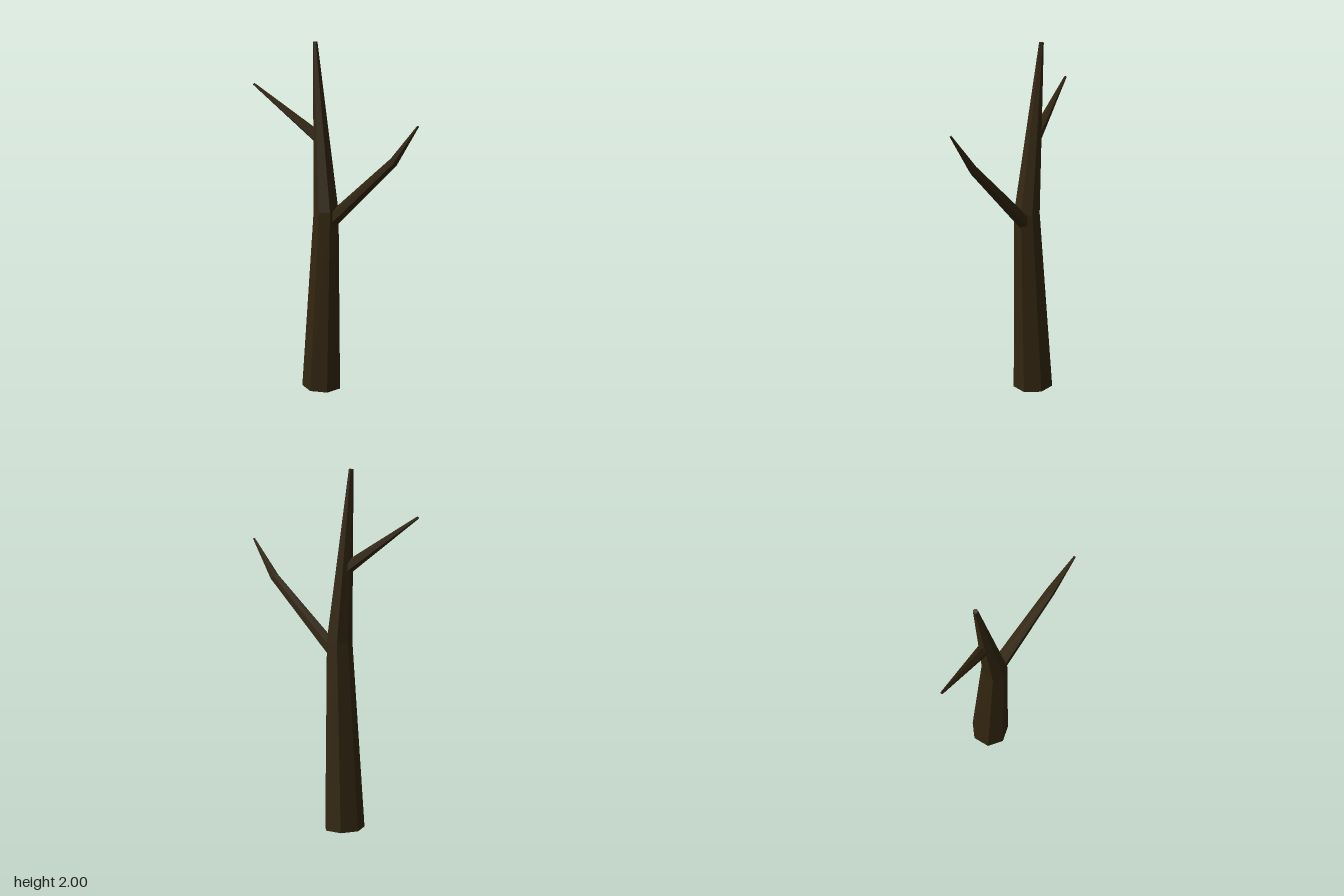
import * as THREE from 'three';

const bark = new THREE.MeshStandardMaterial({ color: 0x332610, flatShading: true });
bark.name = 'dark bark';

// Tapered, bent limb: one polygon ring per stop [x, y, z, radius], capped at both ends
function limb(name, stops, sides, reference) {
  const centres = stops.map(([x, y, z]) => new THREE.Vector3(x, y, z));
  const last = stops.length - 1;
  const positions = [];
  const index = [];

  stops.forEach((stop, i) => {
    // Each ring is square to the limb, halfway between neighbours at a bend
    const along = new THREE.Vector3();
    if (i > 0) along.add(centres[i].clone().sub(centres[i - 1]).normalize());
    if (i < last) along.add(centres[i + 1].clone().sub(centres[i]).normalize());
    along.normalize();
    const u = reference.clone().addScaledVector(along, -reference.dot(along)).normalize();
    const v = along.clone().cross(u);
    for (let j = 0; j < sides; j++) {
      const a = (j / sides) * Math.PI * 2;
      const p = centres[i].clone()
        .addScaledVector(u, Math.cos(a) * stop[3])
        .addScaledVector(v, Math.sin(a) * stop[3]);
      positions.push(p.x, p.y, p.z);
    }
  });

  // Side faces
  for (let i = 0; i < last; i++) {
    for (let j = 0; j < sides; j++) {
      const a = i * sides + j;
      const b = i * sides + ((j + 1) % sides);
      index.push(a, b, b + sides, a, b + sides, a + sides);
    }
  }
  // End caps
  const top = last * sides;
  for (let j = 1; j < sides - 1; j++) {
    index.push(0, j + 1, j, top, top + j, top + j + 1);
  }

  const indexed = new THREE.BufferGeometry();
  indexed.setAttribute('position', new THREE.Float32BufferAttribute(positions, 3));
  indexed.setIndex(index);
  const geometry = indexed.toNonIndexed();
  geometry.computeVertexNormals();
  const mesh = new THREE.Mesh(geometry, bark);
  mesh.name = name;
  return mesh;
}

export function createModel() {
  const tree = new THREE.Group();
  tree.name = 'bareTree';
  const up = new THREE.Vector3(0, 1, 0);

  // Seven-sided trunk, bending where the lower branch leaves it
  tree.add(limb('trunk', [
    [-0.135, 0.005, -0.034, 0.115],
    [-0.088, 1.06, -0.031, 0.073],
    [-0.182, 1.999, -0.031, 0.013],
  ], 7, new THREE.Vector3(-1, 0, 0)));

  // Long lower branch, kinked upward near its tip
  tree.add(limb('lowerBranch', [
    [-0.125, 0.945, -0.031, 0.045],
    [0.343, 1.385, -0.135, 0.026],
    [0.5, 1.593, -0.157, 0.006],
  ], 6, up));

  // Short straight upper branch
  tree.add(limb('upperBranch', [
    [-0.13, 1.457, -0.031, 0.036],
    [-0.502, 1.752, 0.154, 0.007],
  ], 6, up));

  return tree;
}
